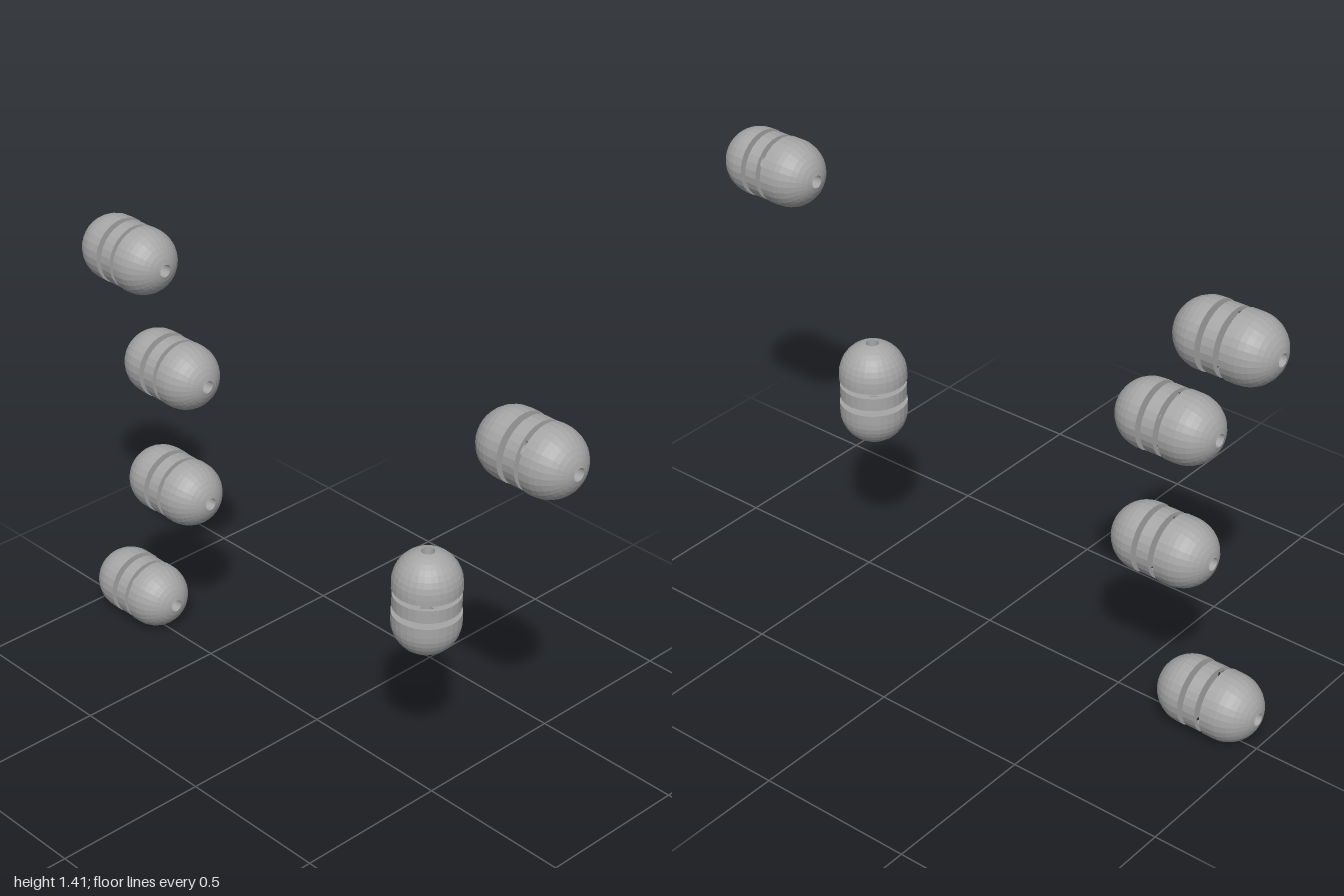
import * as THREE from 'three';

const RADIUS = 0.105;  // capsule radius
const BORE = 0.02;     // hole through the domes
const CENTRE = 0.064;  // distance from the middle to each dome centre
const SIDES = 28;

// Solid dome with a bore; its flat cut face lies at height `cut`
function domeProfile(cut, top) {
  const sign = top ? 1 : -1;
  const pts = [[BORE, cut], [RADIUS, cut]];
  const last = Math.acos(BORE / RADIUS);
  for (let i = 0; i <= 8; i++) {
    const a = (last * i) / 8;
    pts.push([RADIUS * Math.cos(a), sign * (CENTRE + RADIUS * Math.sin(a))]);
  }
  pts.push([BORE, cut]);
  return top ? pts : pts.reverse();
}

function lathe(name, profile, material) {
  const points = profile.map(([r, y]) => new THREE.Vector2(r, y));
  const mesh = new THREE.Mesh(new THREE.LatheGeometry(points, SIDES), material);
  mesh.name = name;
  return mesh;
}

// One capsule, standing along y: long dome below, thin band, short dome above
function makeCapsule(name, material) {
  const capsule = new THREE.Group();
  capsule.name = name;
  const inner = 0.09, outer = 0.103, low = -0.013, high = 0.029;
  capsule.add(
    lathe('longDome', domeProfile(-0.032, false), material),
    lathe('band', [[inner, low], [outer, low], [outer, high], [inner, high], [inner, low]], material),
    lathe('shortDome', domeProfile(0.046, true), material)
  );
  return capsule;
}

export function createModel() {
  const model = new THREE.Group();
  model.name = 'capsules';
  const grey = new THREE.MeshStandardMaterial({ color: 0xa6a6a6, flatShading: true });
  grey.name = 'grey';

  // x, y and whether the capsule lies along x
  const places = [
    [-0.832, 1.31, true],
    [-0.648, 0.986, true],
    [-0.648, 0.572, true],
    [-0.832, 0.107, true],
    [0.832, 1.31, true],
    [0.46, 0.663, false],
  ];
  places.forEach(([x, y, lying], i) => {
    const capsule = makeCapsule(lying ? `lyingCapsule${i + 1}` : 'uprightCapsule', grey);
    capsule.position.set(x, y, 0);
    if (lying) capsule.rotation.z = -Math.PI / 2;
    model.add(capsule);
  });
  return model;
}
